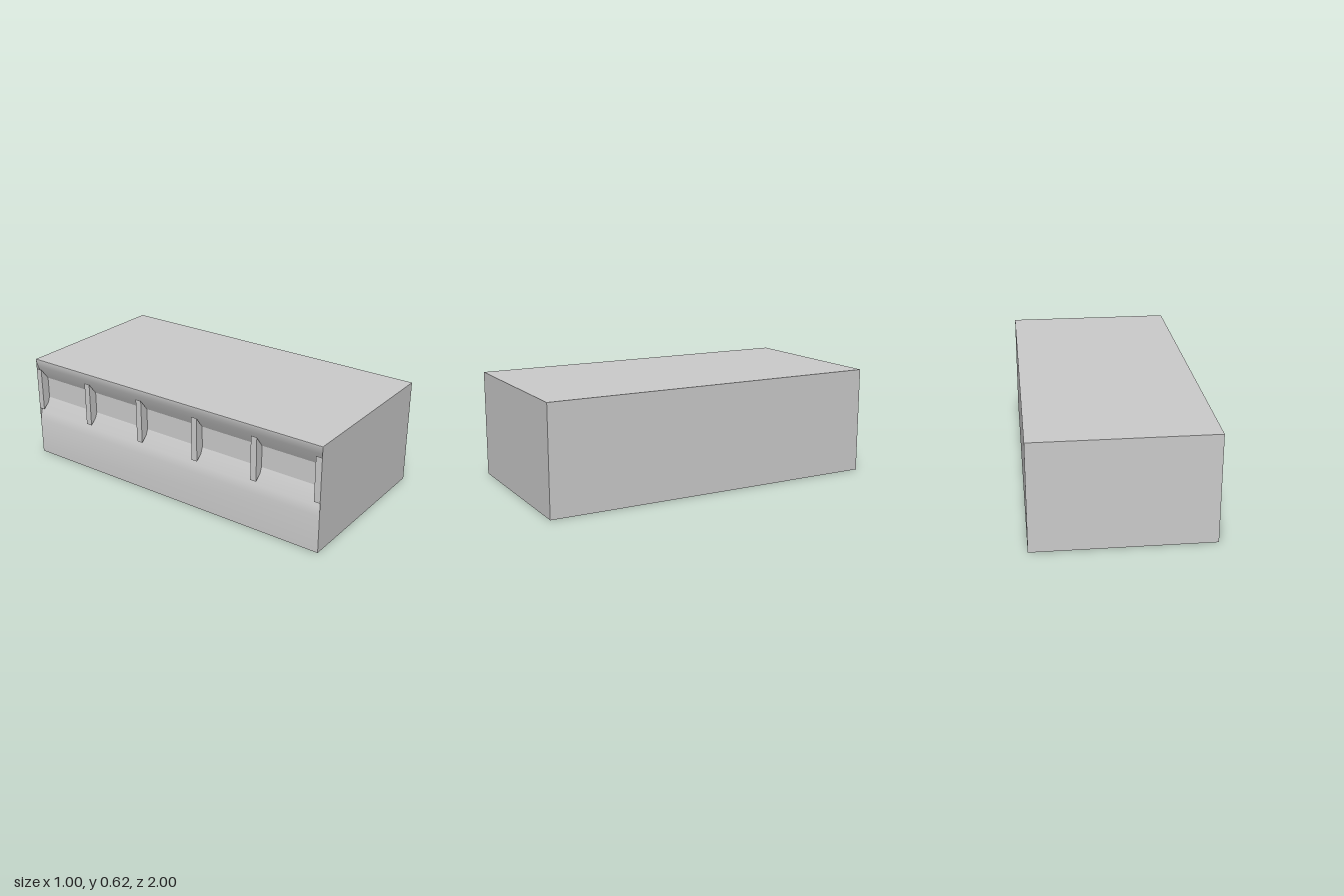
import * as THREE from 'three';
import { toCreasedNormals } from 'three/addons/utils/BufferGeometryUtils.js';

const WIDTH = 1, HEIGHT = 0.62, LENGTH = 2, FINS = 6, FIN_THICKNESS = 0.037;

// Extrude an [x, y] outline along z, starting at z0
function extrude(points, z0, depth) {
  const shape = new THREE.Shape(points.map(([x, y]) => new THREE.Vector2(x, y)));
  const geometry = new THREE.ExtrudeGeometry(shape, { depth, bevelEnabled: false });
  return geometry.translate(0, 0, z0);
}

export function createModel() {
  const model = new THREE.Group();
  const material = new THREE.MeshStandardMaterial({ color: 0xcccccc });
  const thin = new THREE.MeshStandardMaterial({ color: 0xcccccc, side: THREE.DoubleSide });
  const add = (name, geometry, mat = material) => {
    const mesh = new THREE.Mesh(geometry, mat);
    mesh.name = name;
    model.add(mesh);
    return mesh;
  };

  // Block with a shallow, softly sloped channel along its -x side
  const body = extrude([
    [-0.5, 0], [0.5, 0], [0.5, HEIGHT], [-0.5, HEIGHT],
    [-0.5, 0.61], [-0.488, 0.57], [-0.449, 0.49],
    [-0.449, 0.363], [-0.488, 0.27], [-0.5, 0.22],
  ], -LENGTH / 2, LENGTH);
  add('body', toCreasedNormals(body, 0.3));

  // Full end plates close the channel at both ends
  for (const side of [1, -1]) {
    const plate = add(side > 0 ? 'frontPlate' : 'backPlate', new THREE.PlaneGeometry(WIDTH, HEIGHT), thin);
    plate.position.set(0, HEIGHT / 2, side * LENGTH / 2);
    if (side < 0) plate.rotation.y = Math.PI;
  }

  // Evenly spaced trapezoid fins standing in the channel
  const spacing = (LENGTH - FIN_THICKNESS) / (FINS - 1);
  const fin = extrude([[-0.5, 0.296], [-0.447, 0.344], [-0.447, 0.487], [-0.5, 0.558]], 0, FIN_THICKNESS);
  for (let i = 0; i < FINS; i++) {
    add('channelFin', fin).position.z = -LENGTH / 2 + i * spacing;
  }
  return model;
}
